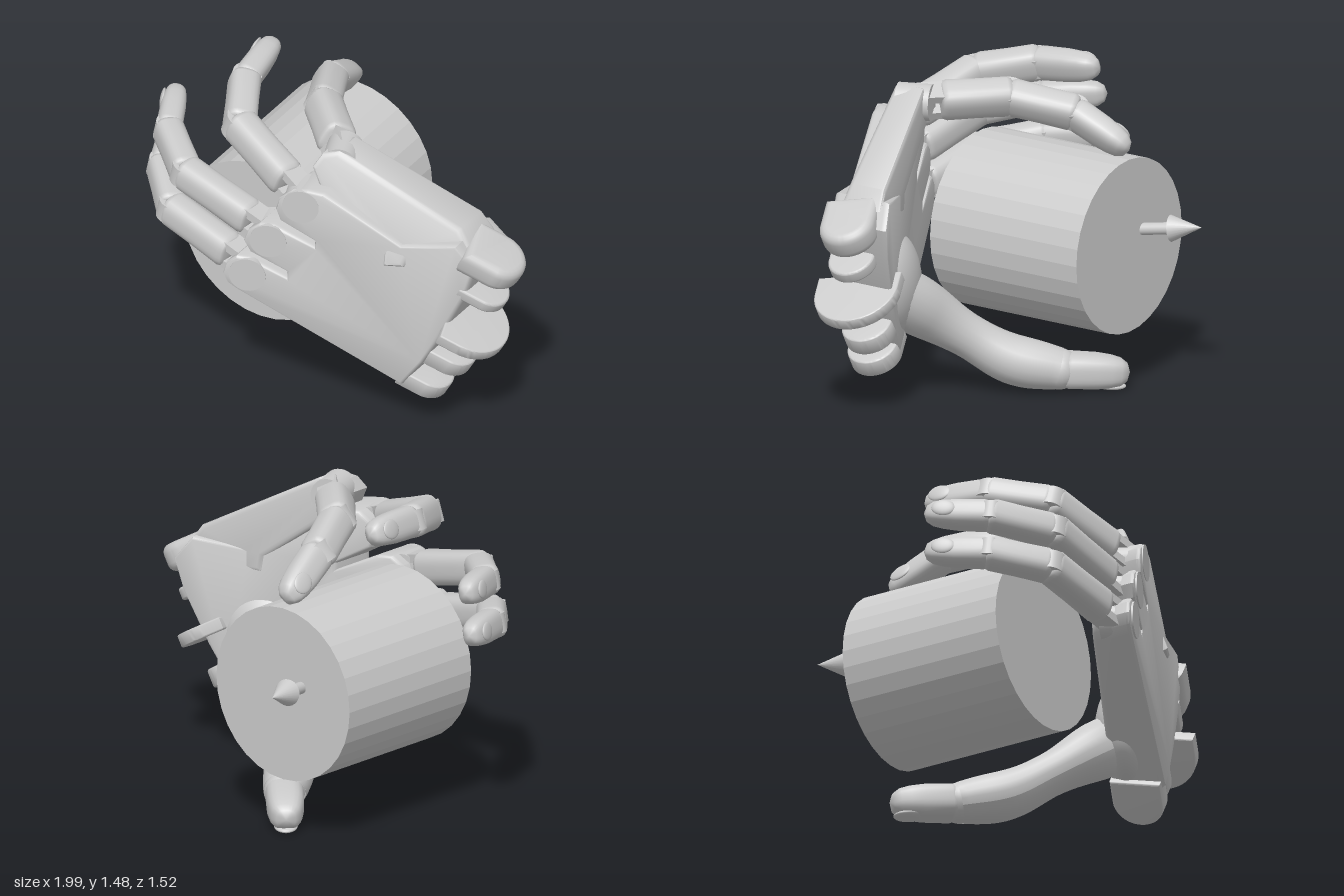
import * as THREE from 'three';
import { mergeVertices, toCreasedNormals } from 'three/addons/utils/BufferGeometryUtils.js';

const V = (a) => new THREE.Vector3(...a);
const grey = new THREE.MeshStandardMaterial({ color: 0xcccccc, side: THREE.DoubleSide });

function add(parent, name, geometry) {
  const mesh = new THREE.Mesh(geometry, grey);
  mesh.name = name;
  parent.add(mesh);
  return mesh;
}

// Visit every vertex with a rule that changes it in place
function warp(geometry, rule) {
  const p = geometry.attributes.position, v = new THREE.Vector3();
  for (let i = 0; i < p.count; i++) {
    rule(v.fromBufferAttribute(p, i), i);
    p.setXYZ(i, v.x, v.y, v.z);
  }
  return geometry;
}

// Turn a mesh so its y runs along dir and its x lies near side
function orient(mesh, dir, side) {
  const y = dir.clone().normalize();
  const x = side.clone().addScaledVector(y, -side.dot(y)).normalize();
  const z = new THREE.Vector3().crossVectors(x, y);
  mesh.quaternion.setFromRotationMatrix(new THREE.Matrix4().makeBasis(x, y, z));
  return mesh;
}

// Slab with an outline in x,y between two sloping planes inner(x, y) and outer(x, y)
function slab(outline, inner, outer, bevel) {
  const g = new THREE.ExtrudeGeometry(new THREE.Shape(outline.map((p) => new THREE.Vector2(...p))), {
    depth: 0.8, bevelThickness: 0.1, bevelSize: bevel, bevelOffset: -bevel, bevelSegments: 3,
  });
  warp(g, (v) => { v.z = THREE.MathUtils.lerp(inner(v.x, v.y), outer(v.x, v.y), v.z + 0.1); });
  return toCreasedNormals(g, 0.6);
}

// Rounded, squarish finger bone of given length; sizes are half widths
function boneGeometry(length, width, depth, tip) {
  const e = tip ? 0.09 : 0.03;
  const profile = [[0, 0], [0.75, 0], [0.92, 0.01], [1, 0.03], [0.97, length * 0.5]];
  if (tip) profile.push([0.88, length - e], [0.75, length - 0.045], [0.5, length - 0.015], [0, length]);
  else profile.push([0.98, length - e], [0.88, length - 0.01], [0.7, length], [0, length]);
  const g = new THREE.LatheGeometry(profile.map((p) => new THREE.Vector2(...p)), 28);
  warp(g, (v) => {
    const r = Math.hypot(v.x, v.z);
    if (r < 1e-6) return;
    const n = 3, c = Math.abs(v.x / r), s = Math.abs(v.z / r);
    const k = 1 / Math.pow(c ** n + s ** n, 1 / n);
    v.x *= k * width;
    v.z *= k * depth;
  });
  g.deleteAttribute('uv');
  g.deleteAttribute('normal');
  const merged = mergeVertices(g, 1e-5);
  merged.computeVertexNormals();
  return merged;
}

function bone(parent, name, a, b, width, depth, side, tip) {
  const dir = b.clone().sub(a);
  const m = add(parent, name, boneGeometry(dir.length(), width, depth, tip));
  m.position.copy(a);
  return orient(m, dir, side);
}

function rod(parent, name, at, axis, geometry) {
  const m = add(parent, name, geometry);
  m.position.copy(at);
  return orient(m, axis, V([1, 0, 0]));
}

const cylinder = (radius, length) => new THREE.CylinderGeometry(radius, radius, length, 32);

// Knuckle, three bones, two joints and a nail
function finger(parent, name, points, axis, width) {
  const g = new THREE.Group();
  g.name = name;
  parent.add(g);
  const p = points.map(V), side = V(axis).normalize();
  rod(g, 'knuckle', p[0], V([0.37, 0, 0.93]), cylinder(0.085, 0.16));
  const labels = ['proximalBone', 'middleBone', 'fingertip'];
  for (let i = 0; i < 3; i++) {
    const dir = p[i + 1].clone().sub(p[i]).normalize();
    const start = p[i].clone().addScaledVector(dir, i ? -0.005 : 0.115);
    const end = p[i + 1].clone().addScaledVector(dir, i < 2 ? 0.02 : 0);
    const w = width * (1 - 0.06 * i);
    const m = bone(g, labels[i], start, end, w, w * (i === 2 ? 0.85 : 0.92), side, i === 2);
    if (i === 0) {
      // fork prongs and pin reaching back to the knuckle
      for (const s of [-1, 1]) {
        const prong = add(g, 'forkProng', new THREE.BoxGeometry(0.04, 0.13, 0.1));
        prong.position.copy(p[0]).addScaledVector(dir, 0.08).addScaledVector(side, s * width * 0.6);
        orient(prong, dir, side);
      }
      rod(g, 'forkPin', p[0].clone().addScaledVector(dir, 0.07), side, cylinder(0.022, width * 1.4));
    } else {
      rod(g, 'joint', p[i], side, cylinder(w * 0.9, w * 1.25));
    }
    if (i === 2) {
      const nail = add(m, 'nail', new THREE.SphereGeometry(1, 20, 12));
      nail.scale.set(w * 0.6, 0.055, 0.012);
      nail.position.set(0, start.distanceTo(end) - 0.095, w * 0.76);
    }
  }
}

export function createModel() {
  const model = new THREE.Group();
  model.name = 'handHoldingCylinder';

  // Held cylinder and its direction arrow
  const core = V([-0.34, 0.69, -0.07]);
  rod(model, 'heldCylinder', core, V([0, 0, -1]), toCreasedNormals(cylinder(0.41, 0.82), 0.1));
  const tip = V([-0.525, 0.78, -0.755]), aim = tip.clone().sub(core).normalize();
  rod(model, 'arrowShaft', tip.clone().addScaledVector(aim, -0.27), aim, cylinder(0.028, 0.3));
  rod(model, 'arrowHead', tip.clone().addScaledVector(aim, -0.075), aim, new THREE.ConeGeometry(0.062, 0.15, 24));

  // Palm with rounded knuckle lobes and narrow slits between them
  add(model, 'palm', slab([
    [-0.22, 0.69], [0.5, 0.27], [0.59, 0.4], [0.67, 0.55], [0.78, 0.8], [0.82, 0.95], [0.74, 1.06], [0.5, 1.03],
    [0.16, 1.26], [0.09, 1.27], [0.02, 1.26], [-0.035, 1.21], [-0.05, 1.15], [-0.03, 1.09], [0.12, 1.0],
    [0.12, 0.97], [-0.06, 1.06], [-0.12, 1.06], [-0.17, 1.02], [-0.19, 0.96], [-0.16, 0.9], [0.0, 0.815],
    [0.0, 0.785], [-0.17, 0.87], [-0.22, 0.87], [-0.265, 0.83], [-0.28, 0.77], [-0.26, 0.72],
  ], (x) => 0.43 - 0.47 * x, (x) => 0.66 - 0.37 * x, 0.014));

  // Block carrying the index finger, leaning in towards its top edge
  add(model, 'indexBlock', slab([
    [0.06, 1.34], [0.09, 1.4], [0.16, 1.42], [0.72, 1.11], [0.78, 1.02], [0.54, 0.99], [0.52, 0.92],
    [0.43, 0.92], [0.42, 1.0], [0.12, 1.23],
  ], (x) => 0.36 - 0.33 * x, (x, y) => 0.49 - 0.4 * (y - 1.4) - 0.48 * (x - 0.12), 0.025));

  // Broad, soft mound at the base of the thumb
  const mound = add(model, 'thumbMound', new THREE.SphereGeometry(1, 32, 20));
  mound.position.set(0.44, 0.57, 0.31);
  mound.scale.set(0.23, 0.27, 0.15);
  mound.rotation.set(0, 0.4, -0.5);

  // Wrist lugs: [centre, radius, thickness, reach back into the palm, bevel]
  const out = V([0.8, -0.46, -0.35]).normalize(), across = V([0.49, 0.87, 0]);
  [
    [[0.54, 0.265, 0.31], 0.12, 0.09, 0.12, 0.012],
    [[0.64, 0.4, 0.27], 0.12, 0.09, 0.12, 0.012],
    [[0.73, 0.59, 0.27], 0.2, 0.06, 0.1, 0.008],
    [[0.81, 0.77, 0.24], 0.11, 0.06, 0.12, 0.012],
    [[0.86, 0.935, 0.225], 0.13, 0.13, 0.16, 0.04],
  ].forEach(([c, r, t, back, b]) => {
    const s = new THREE.Shape();
    s.moveTo(-back, -r);
    s.lineTo(0, -r);
    s.absarc(0, 0, r, -Math.PI / 2, Math.PI / 2, false);
    s.lineTo(-back, r);
    s.closePath();
    const g = new THREE.ExtrudeGeometry(s, {
      depth: t - 2 * b, bevelThickness: b, bevelSize: b, bevelOffset: -b, bevelSegments: 4, curveSegments: 20,
    });
    g.translate(0, 0, -t / 2 + b);
    const lug = add(model, 'wristLug', toCreasedNormals(g, 0.6));
    const y = new THREE.Vector3().crossVectors(across, out).normalize();
    const z = new THREE.Vector3().crossVectors(out, y);
    lug.quaternion.setFromRotationMatrix(new THREE.Matrix4().makeBasis(out, y, z));
    lug.position.copy(V(c));
  });

  // Four fingers: knuckle, two joints, tip
  finger(model, 'indexFinger',
    [[0.13, 1.34, 0.38], [-0.17, 1.345, 0.07], [-0.3, 1.285, -0.2], [-0.35, 1.14, -0.475]], [0.45, 0.85, -0.25], 0.088);
  finger(model, 'middleFinger',
    [[0.035, 1.18, 0.565], [-0.4, 1.345, 0.42], [-0.53, 1.4, 0.17], [-0.57, 1.42, -0.15]], [0.33, 0.94, 0], 0.086);
  finger(model, 'ringFinger',
    [[-0.105, 0.975, 0.62], [-0.6, 1.095, 0.56], [-0.82, 1.135, 0.36], [-0.95, 1.165, 0.08]], [0.2, 0.98, 0], 0.081);
  finger(model, 'littleFinger',
    [[-0.195, 0.78, 0.655], [-0.66, 0.89, 0.58], [-0.85, 0.935, 0.37], [-0.965, 0.965, 0.09]], [0.2, 0.98, 0], 0.081);

  // Thumb: curved tapering stem and a rounded tip
  const path = new THREE.CatmullRomCurve3([
    [0.44, 0.53, 0.28], [0.26, 0.4, 0.21], [0.12, 0.275, 0.09], [0.0, 0.165, -0.06], [-0.13, 0.115, -0.24],
  ].map(V));
  const rings = 28, sides = 20;
  const stem = new THREE.TubeGeometry(path, rings, 1, sides);
  warp(stem, (v, i) => {
    const t = Math.floor(i / (sides + 1)) / rings;
    const r = 0.13 - 0.032 * t + 0.012 * Math.sin(t * 9.5);
    const c = path.getPointAt(t);
    v.sub(c).multiplyScalar(r).add(c);
  });
  stem.computeVertexNormals();
  add(model, 'thumbStem', stem);
  const joint = add(model, 'thumbJoint', new THREE.SphereGeometry(0.095, 24, 16));
  joint.position.set(-0.13, 0.115, -0.24);
  const thumbTip = bone(model, 'thumbTip', V([-0.14, 0.112, -0.25]), V([-0.355, 0.085, -0.475]),
    0.088, 0.083, V([0.75, 0, -0.65]), true);
  const nail = add(thumbTip, 'thumbNail', new THREE.SphereGeometry(1, 20, 12));
  nail.scale.set(0.055, 0.075, 0.018);
  nail.position.set(0, 0.225, -0.065);

  return model;
}
